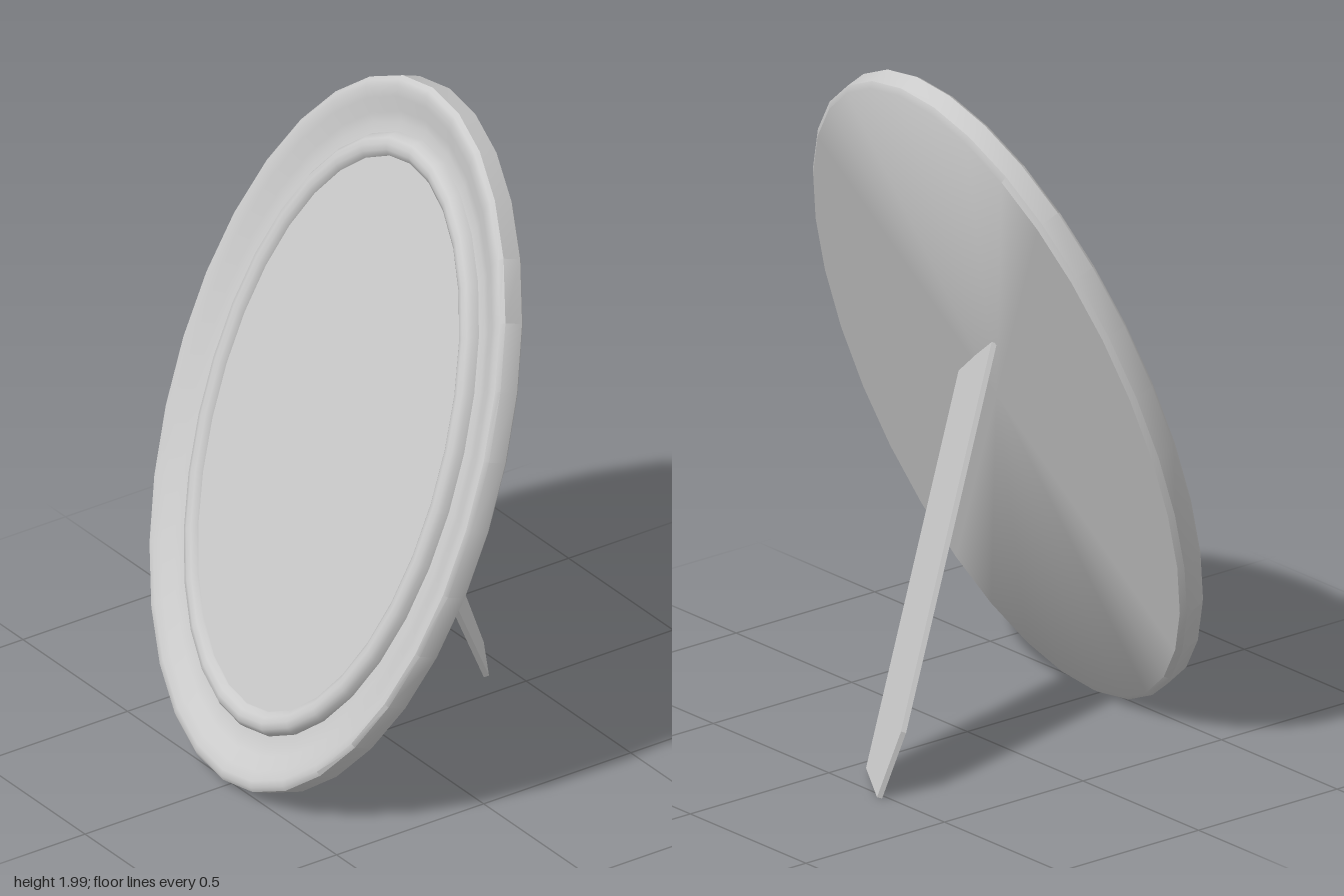
import * as THREE from 'three';
import { toCreasedNormals } from 'three/addons/utils/BufferGeometryUtils.js';

const SEGMENTS = 32;
const material = new THREE.MeshStandardMaterial({ color: 0xcccccc });

function mesh(name, geometry) {
  const m = new THREE.Mesh(geometry, material);
  m.name = name;
  return m;
}

// Half height of the oval whose half width is r, keeping the moulding near even in width
const halfHeight = (r) => 0.236 + 1.18 * r;

// Moulded oval frame: a turned profile (radius, depth) stretched into an oval
function ovalFrame() {
  const profile = [
    [0, 0], [0.672, 0], [0.686, 0.014],              // flat back and bevel
    [0.686, 0.074], [0.676, 0.085], [0.66, 0.086],   // outer rim
    [0.635, 0.078], [0.6, 0.06], [0.575, 0.052], [0.55, 0.052], // hollow
    [0.545, 0.07], [0.535, 0.083], [0.52, 0.088],    // inner bead
    [0.505, 0.084], [0.492, 0.074], [0.488, 0.06],
  ].map(([r, h]) => new THREE.Vector2(r, h));
  const geo = new THREE.LatheGeometry(profile, SEGMENTS);
  geo.rotateX(Math.PI / 2);
  const pos = geo.attributes.position;
  for (let i = 0; i < pos.count; i++) {
    const r = Math.hypot(pos.getX(i), pos.getY(i));
    if (r > 0.01) pos.setY(i, pos.getY(i) * halfHeight(r) / r);
  }
  return mesh('ovalFrame', toCreasedNormals(geo, 0.75));
}

// Flat picture panel inside the bead
function picturePanel() {
  const geo = new THREE.CircleGeometry(1, SEGMENTS, Math.PI / 2);
  geo.scale(0.492, halfHeight(0.492), 1);
  geo.translate(0, 0, 0.069);
  return mesh('picturePanel', geo);
}

// Slanted strap behind the frame, cut to a point at the foot
function standLeg() {
  const corners = [
    [-0.065, 0.025, -0.42], [0.155, 1.02, 0.1], [-0.07, 1.18, 0.03],
    [-0.285, 0.21, -0.475], [-0.24, 0.017, -0.53],
  ].map((p) => new THREE.Vector3(...p));
  const origin = corners[0];
  const up = corners[1].clone().sub(origin).normalize();
  const across = corners[2].clone().sub(corners[1]);
  const normal = new THREE.Vector3().crossVectors(up, across).normalize();
  const side = new THREE.Vector3().crossVectors(up, normal);
  const shape = new THREE.Shape(corners.map((c) => {
    const v = c.clone().sub(origin);
    return new THREE.Vector2(v.dot(side), v.dot(up));
  }));
  const geo = new THREE.ExtrudeGeometry(shape, { depth: 0.015, bevelEnabled: false });
  geo.applyMatrix4(new THREE.Matrix4().makeBasis(side, up, normal).setPosition(origin));
  return mesh('standLeg', geo);
}

export function createModel() {
  const model = new THREE.Group();
  model.name = 'pictureFrame';

  // Frame and panel lean back together
  const leaning = new THREE.Group();
  leaning.name = 'leaningFrame';
  leaning.add(ovalFrame(), picturePanel());
  leaning.rotation.x = THREE.MathUtils.degToRad(-20);
  leaning.position.set(0, 0.99, 0.105);

  model.add(leaning, standLeg());
  return model;
}
